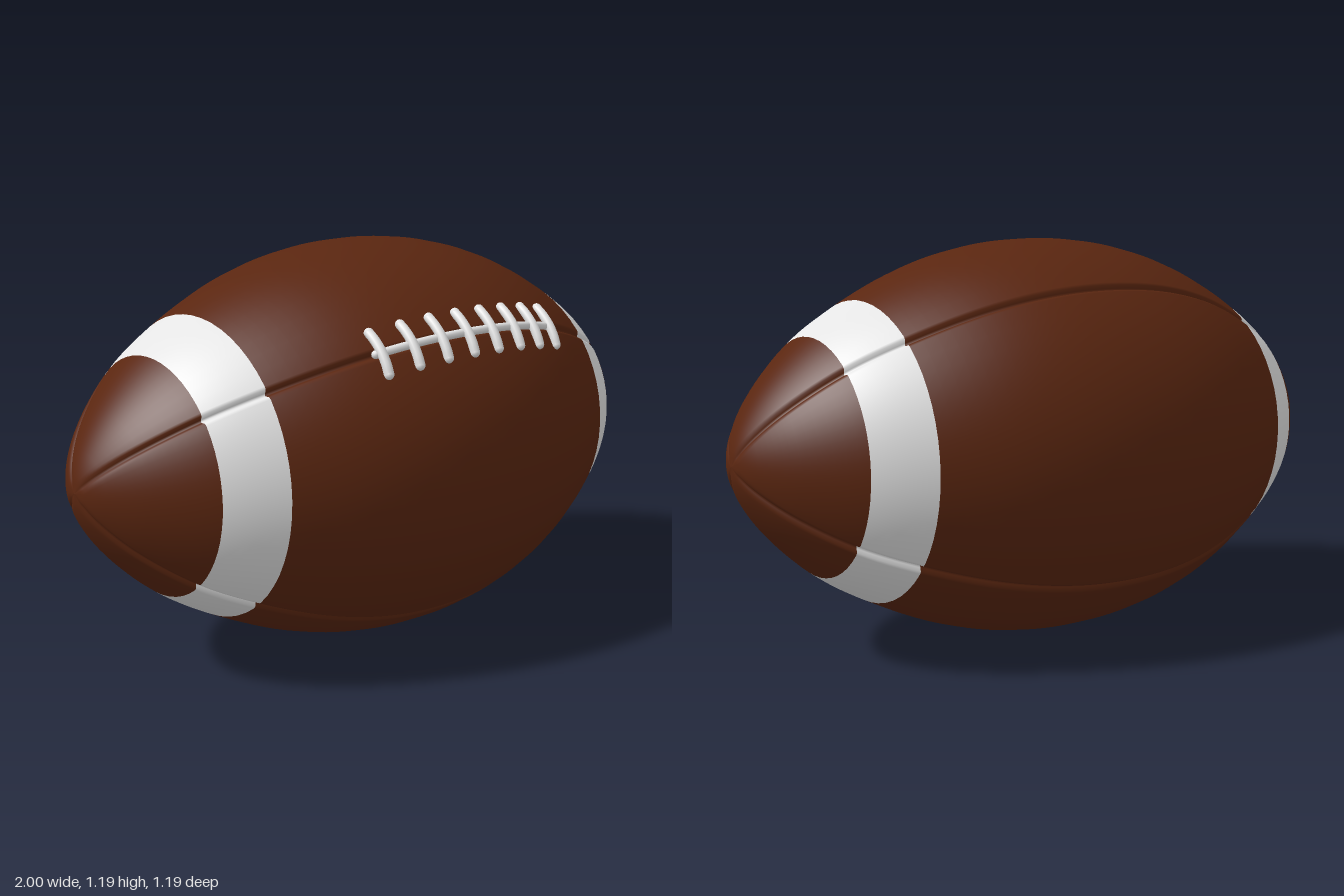
import * as THREE from 'three';

const CENTER_Y = 0.593;
const SEAM = THREE.MathUtils.degToRad(39); // angle of the laced seam, from +z towards +y
const QUARTER = Math.PI / 2;

// Half profile (x, radius) mirrored to the full length of the ball
const half = [[0, 0.593], [0.2, 0.577], [0.4, 0.525], [0.615, 0.427], [0.765, 0.333],
  [0.9, 0.203], [0.968, 0.105], [0.993, 0.045], [1, 0]];
const profilePoints = [...half.slice(1).reverse().map(([x, r]) => [-x, r]), ...half]
  .map(([x, r]) => new THREE.Vector3(x, r, 0));
const profile = new THREE.CatmullRomCurve3(profilePoints);
const SPANS = profilePoints.length - 1;

// Radius of the ball at a given x, found by bisection along the profile
function radiusAt(x) {
  let lo = 0, hi = 1;
  for (let i = 0; i < 30; i++) {
    const mid = (lo + hi) / 2;
    if (profile.getPoint(mid).x < x) lo = mid; else hi = mid;
  }
  return profile.getPoint(lo).y;
}

function onBall(x, angle, r) {
  return new THREE.Vector3(x, CENTER_Y + Math.sin(angle) * r, Math.cos(angle) * r);
}

// Four leather panels with a soft groove along each seam
function ballGeometry() {
  const STEPS = 6, INNER = 14;
  const grooveSteps = [0, 0.35, 0.8, 1.4];
  const positions = [], indices = [];
  const rings = SPANS * STEPS + 1;
  let columns = 0;
  for (let i = 0; i < rings; i++) {
    const { x, y } = profile.getPoint(i / (rings - 1));
    const r = Math.max(y, 0);
    const w = Math.min(0.35, 0.014 / Math.max(r, 0.001));
    const depth = Math.min(0.016, r * 0.3);
    const edge = 1.4 * w;
    const offsets = grooveSteps.map((s) => s * w);
    for (let k = 1; k < INNER; k++) offsets.push(edge + (QUARTER - 2 * edge) * k / INNER);
    for (const s of [1.4, 0.8, 0.35]) offsets.push(QUARTER - s * w);
    columns = offsets.length * 4;
    for (let panel = 0; panel < 4; panel++) {
      for (const o of offsets) {
        const t = Math.min(o, QUARTER - o) / w;
        const p = onBall(x, SEAM + panel * QUARTER + o, r - depth * Math.exp(-3 * t * t));
        positions.push(p.x, p.y, p.z);
      }
    }
  }
  const geometry = new THREE.BufferGeometry();
  for (let span = 0; span < SPANS; span++) {
    const start = indices.length;
    for (let i = span * STEPS; i < (span + 1) * STEPS; i++) {
      for (let j = 0; j < columns; j++) {
        const n = (j + 1) % columns;
        const a = i * columns + j, d = i * columns + n;
        const b = a + columns, c = d + columns;
        indices.push(a, b, c, a, c, d);
      }
    }
    // The band between the two stripe edges is white on both ends
    const middle = Math.abs(profilePoints[span].x + profilePoints[span + 1].x) / 2;
    geometry.addGroup(start, indices.length - start, middle > 0.615 && middle < 0.765 ? 1 : 0);
  }
  geometry.setAttribute('position', new THREE.Float32BufferAttribute(positions, 3));
  geometry.setIndex(indices);
  geometry.computeVertexNormals();
  return geometry;
}

// Round cord with ball ends
function cord(name, points, radius, segments, material) {
  const group = new THREE.Group();
  group.name = name;
  const curve = new THREE.CatmullRomCurve3(points);
  group.add(new THREE.Mesh(new THREE.TubeGeometry(curve, segments, radius, 10), material));
  for (const end of [points[0], points[points.length - 1]]) {
    const cap = new THREE.Mesh(new THREE.SphereGeometry(radius, 10, 8), material);
    cap.position.copy(end);
    group.add(cap);
  }
  for (const mesh of group.children) mesh.name = name;
  return group;
}

export function createModel() {
  const leather = new THREE.MeshStandardMaterial({ color: 0x5a2610 });
  leather.name = 'brown leather';
  const white = new THREE.MeshStandardMaterial({ color: 0xe4e4e4 });
  white.name = 'white';

  const model = new THREE.Group();
  model.name = 'football';
  const ball = new THREE.Mesh(ballGeometry(), [leather, white]);
  ball.name = 'ball';
  model.add(ball);

  // Long lace lying in the seam
  const laces = new THREE.Group();
  laces.name = 'laces';
  const along = [];
  for (let i = 0; i <= 8; i++) {
    const x = -0.33 + 0.69 * i / 8;
    along.push(onBall(x, SEAM, radiusAt(x) + 0.001));
  }
  laces.add(cord('longLace', along, 0.012, 40, white));

  // Eight cross laces curving over the seam
  for (let i = 0; i < 8; i++) {
    const x = -0.32 + 0.0957 * i;
    const r = radiusAt(x);
    const across = [-1, -0.6, 0, 0.6, 1].map((s) =>
      onBall(x, SEAM + s * 0.064 / r, r + 0.012 - 0.008 * s * s));
    laces.add(cord('crossLace', across, 0.014, 16, white));
  }
  model.add(laces);
  return model;
}
